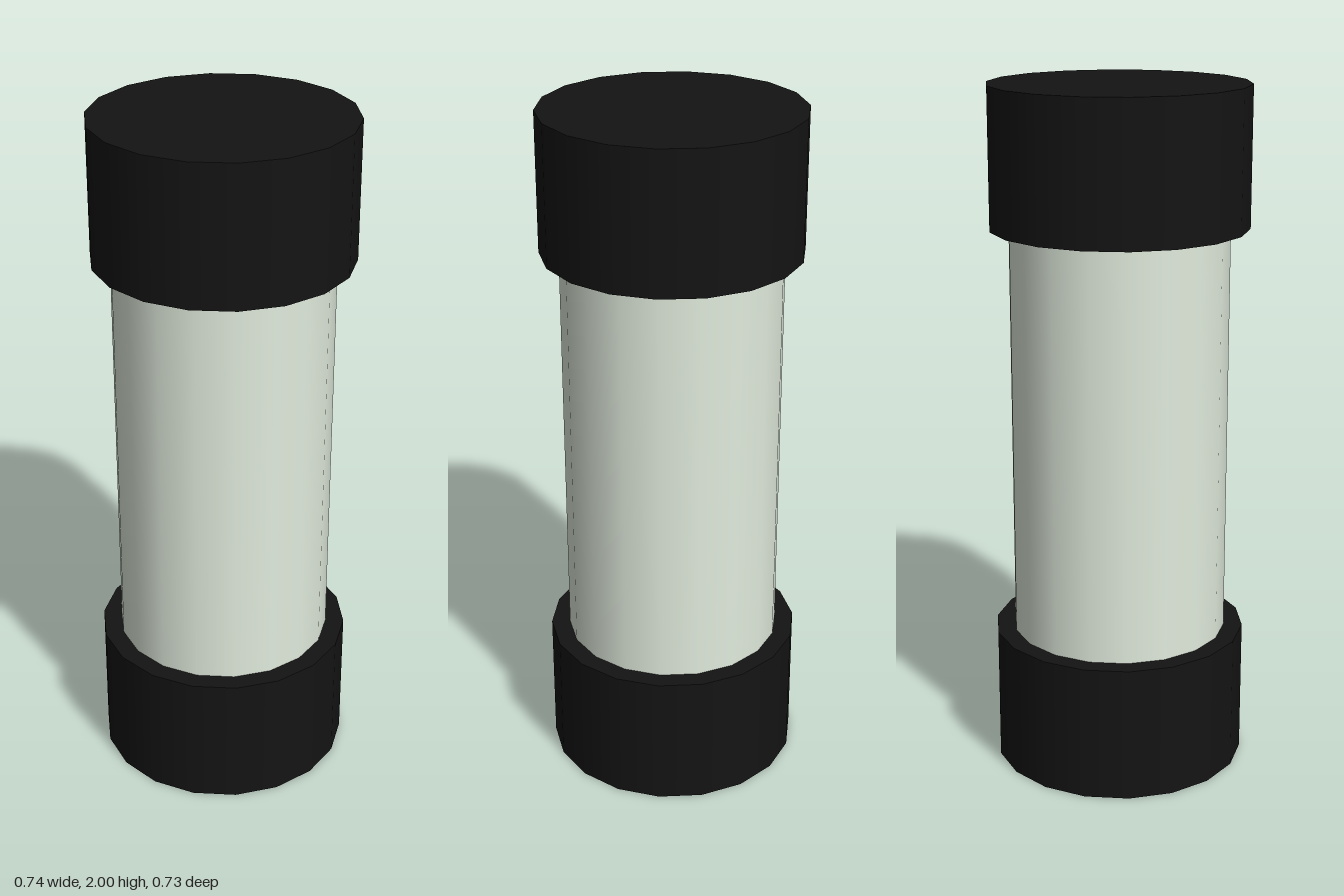
import * as THREE from 'three';

const SIDES = 18;

// Upright cylinder with a corner on the x axis
function cylinder(name, radius, bottom, top, material) {
  const geometry = new THREE.CylinderGeometry(radius, radius, top - bottom, SIDES);
  geometry.rotateY(Math.PI / 2);
  const mesh = new THREE.Mesh(geometry, material);
  mesh.name = name;
  mesh.position.y = (bottom + top) / 2;
  return mesh;
}

export function createModel() {
  const model = new THREE.Group();
  model.name = 'cappedTube';

  const black = new THREE.MeshStandardMaterial({ color: 0x141414 });
  const paleGreen = new THREE.MeshStandardMaterial({ color: 0xe2ecde });

  // Pale tube, running a little way into both caps
  model.add(cylinder('tube', 0.315, 0.35, 1.65, paleGreen));

  // Dark end caps
  model.add(cylinder('bottomCap', 0.37, 0, 0.4, black));
  model.add(cylinder('topCap', 0.37, 1.6, 2, black));

  return model;
}
